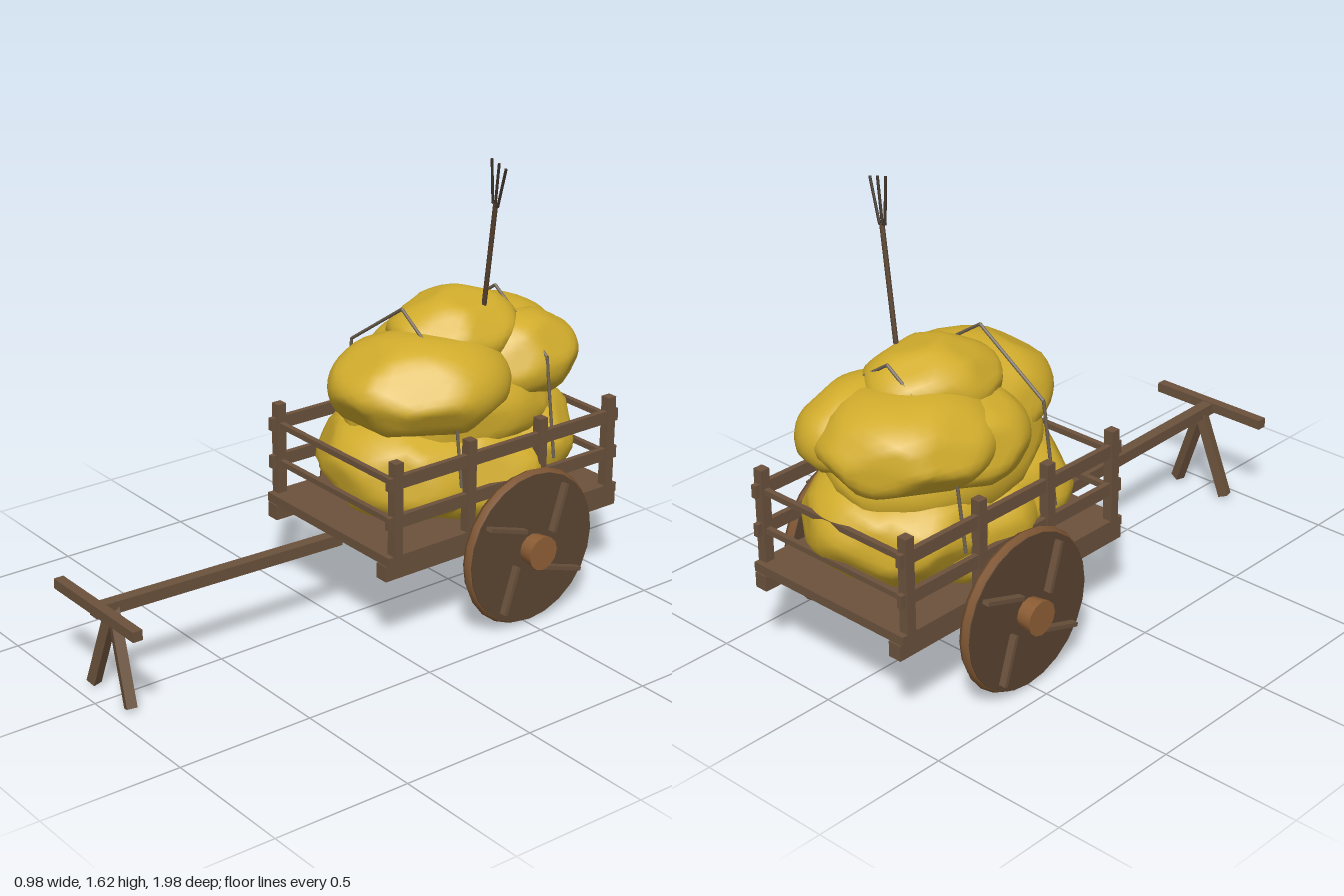
import * as THREE from 'three';
import { mergeVertices } from 'three/addons/utils/BufferGeometryUtils.js';

const mat = (name, color) => {
  const m = new THREE.MeshStandardMaterial({ color });
  m.name = name;
  return m;
};

// Small seeded random generator
const seeded = (s) => () => {
  s = (s * 16807) % 2147483647;
  return s / 2147483647;
};

export function createModel() {
  const wood = mat('wood', 0x6b523c);
  const darkWood = mat('darkWood', 0x5b4532);
  const rimWood = mat('rimWood', 0x815835);
  const trim = mat('lightWood', 0x8f5f36);
  const hay = mat('hay', 0xd2ad2c);
  const rope = mat('rope', 0x6e6252);
  const iron = mat('forkDark', 0x40342c);
  const root = new THREE.Group();
  root.name = 'hayCart';

  const add = (name, geo, m, parent = root) => {
    const mesh = new THREE.Mesh(geo, m);
    mesh.name = name;
    parent.add(mesh);
    return mesh;
  };
  const box = (name, w, h, d, x, y, z, m = wood, parent = root) => {
    const b = add(name, new THREE.BoxGeometry(w, h, d), m, parent);
    b.position.set(x, y, z);
    return b;
  };
  // Bar between two points: square beam or round rod
  const bar = (name, a, b, size, m, round = false) => {
    const p = new THREE.Vector3(...a), q = new THREE.Vector3(...b);
    const len = p.distanceTo(q);
    const geo = round
      ? new THREE.CylinderGeometry(size, size, len, 6)
      : new THREE.BoxGeometry(size, len, size);
    const mesh = add(name, geo, m);
    mesh.position.copy(p).add(q).multiplyScalar(0.5);
    mesh.quaternion.setFromUnitVectors(new THREE.Vector3(0, 1, 0), q.sub(p).normalize());
    return mesh;
  };

  // Bed
  const zMid = -0.467;
  box('floor', 0.686, 0.033, 1.04, 0, 0.366, zMid);
  for (const s of [-1, 1]) {
    box('bedBeam', 0.05, 0.055, 1.05, s * 0.31, 0.322, zMid);
    // Side fence
    for (const z of [0.013, -0.305, -0.625, -0.948]) {
      box('post', 0.036, 0.345, 0.036, s * 0.327, 0.546, z);
    }
    for (const y of [0.645, 0.503]) {
      box('sideRail', 0.02, 0.046, 1.035, s * 0.329, y, zMid);
    }
  }
  // End fences
  for (const z of [0.013, -0.948]) {
    for (const y of [0.64, 0.498]) box('endRail', 0.69, 0.02, 0.02, 0, y, z);
  }

  // Drawbar, handle and prop legs
  bar('drawbar', [0, 0.342, 0.99], [0, 0.318, 0], 0.042, wood);
  box('handle', 0.48, 0.036, 0.036, 0, 0.347, 0.975);
  for (const s of [-1, 1]) bar('propLeg', [0, 0.335, 0.918], [s * 0.113, 0.02, 0.933], 0.036, wood);

  // Axle and wheels
  box('axle', 0.8, 0.048, 0.048, 0, 0.295, -0.51);
  for (const s of [-1, 1]) {
    const wheel = new THREE.Group();
    wheel.name = s > 0 ? 'leftWheel' : 'rightWheel';
    wheel.position.set(s * 0.408, 0.294, -0.51);
    wheel.rotation.y = s > 0 ? 0 : Math.PI;
    root.add(wheel);
    const disc = add('wheelDisc', new THREE.CylinderGeometry(0.274, 0.274, 0.044, 24), darkWood, wheel);
    disc.rotation.z = -Math.PI / 2;
    const rim = add('wheelRim', new THREE.TorusGeometry(0.264, 0.022, 6, 24), rimWood, wheel);
    rim.rotation.y = Math.PI / 2;
    const hub = add('hub', new THREE.CylinderGeometry(0.062, 0.05, 0.09, 12), trim, wheel);
    hub.rotation.z = -Math.PI / 2;
    hub.position.x = 0.036;
    // Four battens set in a pinwheel
    for (let i = 0; i < 4; i++) {
      const pivot = new THREE.Group();
      pivot.name = 'batten';
      pivot.rotation.x = (i * Math.PI) / 2;
      wheel.add(pivot);
      const b = box('battenBar', 0.026, 0.014, 0.175, 0.035, 0.107, 0.128, wood, pivot);
      b.rotation.x = -0.31;
    }
  }

  // Hay lumps: spheres trimmed by random planes, then shaded smoothly
  const lump = (c, r, seed) => {
    const rand = seeded(seed * 7919);
    const planes = [];
    for (let i = 0; i < 34; i++) {
      const y = rand() * 2 - 1, a = rand() * Math.PI * 2, h = Math.sqrt(1 - y * y);
      planes.push({ n: new THREE.Vector3(h * Math.cos(a), y, h * Math.sin(a)), d: 0.9 + rand() * 0.1 });
    }
    let geo = new THREE.IcosahedronGeometry(1, 7);
    geo.deleteAttribute('normal');
    geo.deleteAttribute('uv');
    geo = mergeVertices(geo, 1e-4);
    const p = geo.attributes.position;
    const v = new THREE.Vector3();
    for (let i = 0; i < p.count; i++) {
      v.fromBufferAttribute(p, i);
      let f = 1.02;
      for (const { n, d } of planes) {
        const k = n.dot(v);
        if (k > 0) f = Math.min(f, d / k);
      }
      p.setXYZ(i, v.x * f * r[0], v.y * f * r[1], v.z * f * r[2]);
    }
    geo.computeVertexNormals();
    add('hayLump', geo, hay).position.set(...c);
  };
  // Lower layer
  lump([0, 0.555, -0.29], [0.322, 0.205, 0.31], 1);
  lump([0, 0.57, -0.66], [0.322, 0.21, 0.315], 2);
  lump([0.005, 0.52, -0.5], [0.36, 0.235, 0.32], 3);
  // Filling between the layers
  lump([0, 0.72, -0.49], [0.29, 0.23, 0.41], 4);
  // Upper layer
  lump([0.07, 0.847, -0.295], [0.285, 0.182, 0.325], 5);
  lump([-0.06, 0.865, -0.675], [0.29, 0.172, 0.3], 6);
  lump([0.1, 0.86, -0.7], [0.18, 0.165, 0.25], 7);
  lump([-0.12, 0.83, -0.52], [0.235, 0.165, 0.25], 8);
  lump([0, 0.972, -0.5], [0.205, 0.148, 0.248], 9);

  // Ropes over the load
  for (const z of [-0.27, -0.69]) {
    const pts = [[-0.33, 0.55], [-0.278, 0.91], [0, 1.097], [0.278, 0.91], [0.33, 0.55]];
    for (let i = 0; i < 4; i++) bar('rope', [...pts[i], z], [...pts[i + 1], z], 0.006, rope, true);
  }

  // Pitchfork stuck in the hay
  bar('forkShaft', [0.06, 0.85, -0.563], [0.19, 1.47, -0.513], 0.009, darkWood, true);
  bar('forkHead', [0.17, 1.472, -0.517], [0.205, 1.463, -0.509], 0.006, iron, true);
  bar('forkTine', [0.172, 1.47, -0.516], [0.178, 1.625, -0.502], 0.005, iron, true);
  bar('forkTine', [0.188, 1.468, -0.513], [0.217, 1.617, -0.5], 0.005, iron, true);
  bar('forkTine', [0.204, 1.463, -0.51], [0.255, 1.607, -0.497], 0.005, iron, true);

  return root;
}
